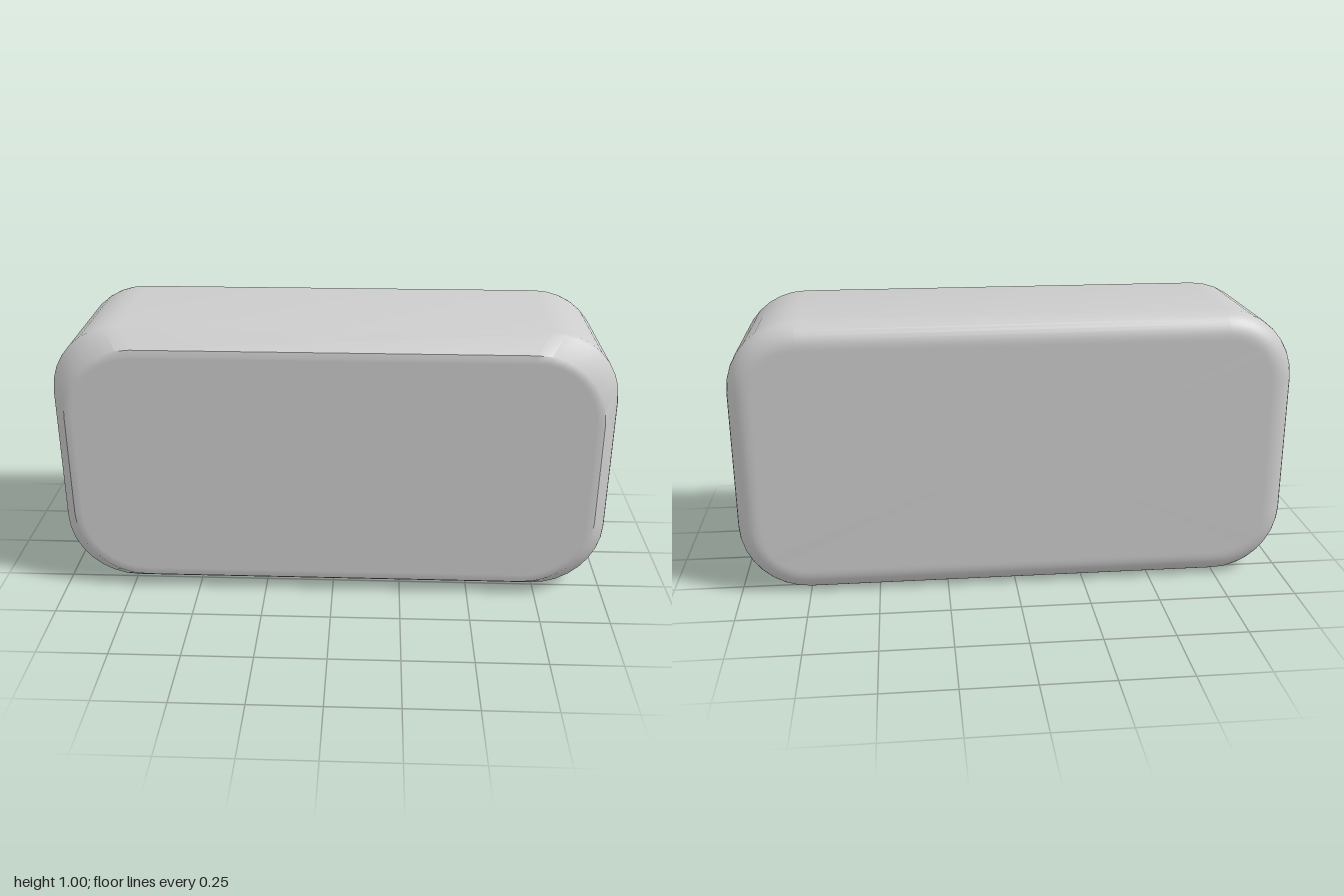
import * as THREE from 'three';
import { toCreasedNormals } from 'three/addons/utils/BufferGeometryUtils.js';

const HALF_W = 1, HALF_H = 0.5, CORNER_STEPS = 8;

// Rounded rectangle loop, counter-clockwise seen from the front
function roundedLoop({ inset, radius, z }) {
  const points = [];
  for (let corner = 0; corner < 4; corner++) {
    const sx = corner === 0 || corner === 3 ? 1 : -1;
    const sy = corner < 2 ? 1 : -1;
    const cx = sx * (HALF_W - inset - radius);
    const cy = HALF_H + sy * (HALF_H - inset - radius);
    for (let i = 0; i <= CORNER_STEPS; i++) {
      const a = (corner + i / CORNER_STEPS) * Math.PI / 2;
      points.push([cx + radius * Math.cos(a), cy + radius * Math.sin(a), z]);
    }
  }
  return points;
}

// Skin between successive loops, closed with a fan at each end
function loftLoops(loops) {
  const n = loops[0].length, last = loops.length - 1, positions = [];
  const tri = (a, b, c) => positions.push(...a, ...b, ...c);
  const backCentre = [0, HALF_H, loops[0][0][2]];
  const frontCentre = [0, HALF_H, loops[last][0][2]];
  for (let j = 0; j < n; j++) {
    const k = (j + 1) % n;
    tri(backCentre, loops[0][k], loops[0][j]);
    tri(frontCentre, loops[last][j], loops[last][k]);
    for (let i = 0; i < last; i++) {
      tri(loops[i][j], loops[i][k], loops[i + 1][k]);
      tri(loops[i][j], loops[i + 1][k], loops[i + 1][j]);
    }
  }
  const geometry = new THREE.BufferGeometry();
  geometry.setAttribute('position', new THREE.Float32BufferAttribute(positions, 3));
  return toCreasedNormals(geometry, THREE.MathUtils.degToRad(40));
}

export function createModel() {
  const group = new THREE.Group();
  group.name = 'roundedBlock';

  // Rounded back edge, preceded by a narrow flat border
  const fillet = 0.083, backZ = -0.327, steps = 8;
  const sections = [{ inset: fillet + 0.01, radius: 0.157, z: backZ }];
  for (let i = 0; i <= steps; i++) {
    const a = i / steps * Math.PI / 2;
    const inset = fillet * (1 - Math.sin(a));
    sections.push({ inset, radius: 0.25 - inset, z: backZ + fillet * (1 - Math.cos(a)) });
  }

  // Straight sides, front chamfer and slightly raised front face
  sections.push(
    { inset: 0, radius: 0.25, z: -0.22 },
    { inset: 0, radius: 0.25, z: 0.23 },
    { inset: 0.005, radius: 0.25, z: 0.245 },
    { inset: 0.055, radius: 0.25, z: 0.322 },
    { inset: 0.075, radius: 0.235, z: 0.327 },
    { inset: 0.085, radius: 0.225, z: 0.327 },
  );

  const body = new THREE.Mesh(
    loftLoops(sections.map(roundedLoop)),
    new THREE.MeshStandardMaterial({ color: 0xcccccc }),
  );
  body.name = 'body';
  group.add(body);
  return group;
}
